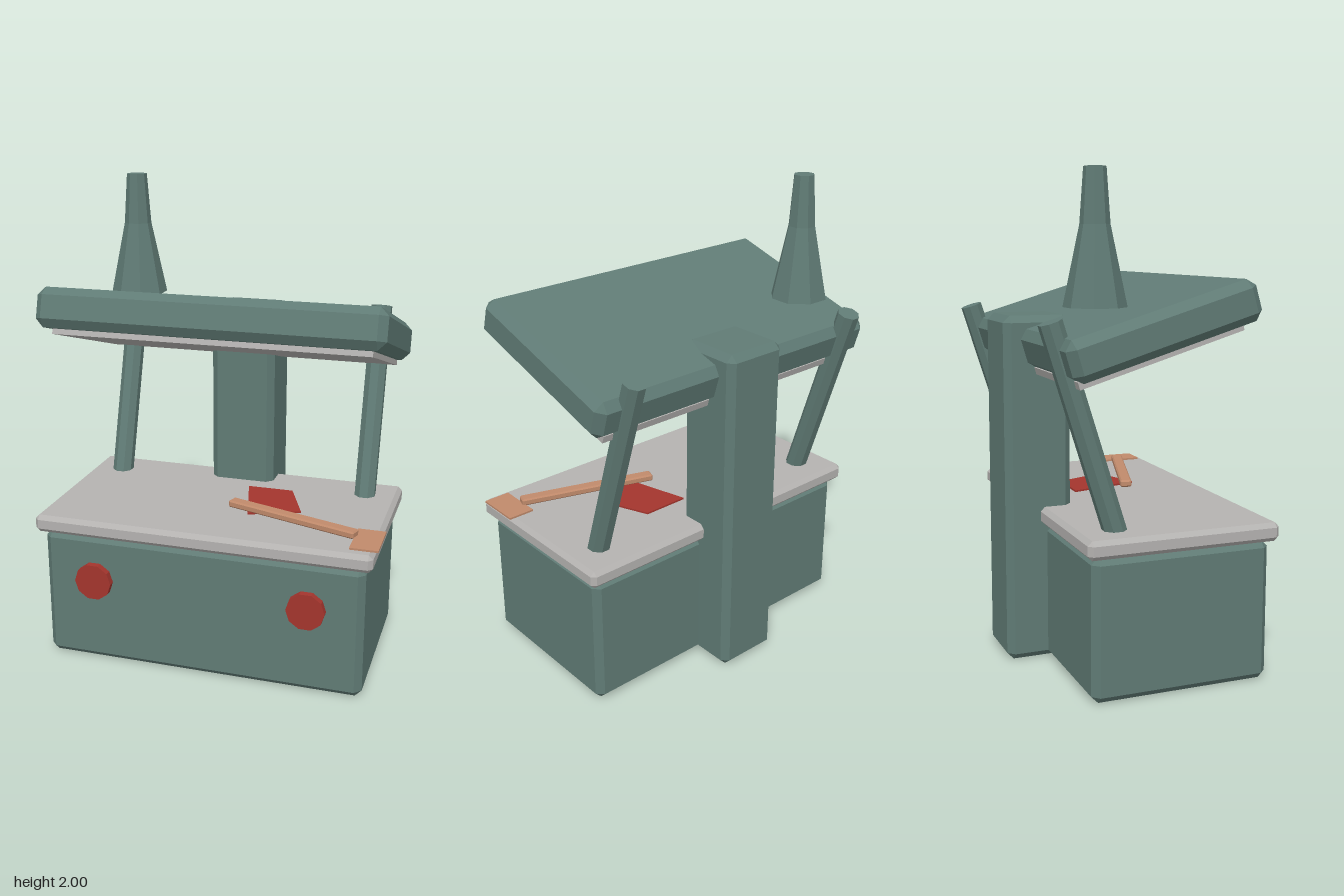
import * as THREE from 'three';
import { ConvexGeometry } from 'three/addons/geometries/ConvexGeometry.js';

const mat = (name, color, extra = {}) => {
  const m = new THREE.MeshStandardMaterial({ color, ...extra });
  m.name = name;
  return m;
};

// Box with chamfered edges and corners, centred on the origin
function chamferBox(w, h, d, c) {
  const pts = [];
  for (const x of [-1, 1]) for (const y of [-1, 1]) for (const z of [-1, 1]) {
    for (let k = 0; k < 3; k++) {
      const cut = [c, c, c];
      cut[k] = 0;
      pts.push(new THREE.Vector3(x * (w / 2 - cut[0]), y * (h / 2 - cut[1]), z * (d / 2 - cut[2])));
    }
  }
  return new ConvexGeometry(pts);
}

export function createModel() {
  const group = new THREE.Group();
  const green = mat('green paint', 0x607b75, { flatShading: true });
  const grey = mat('light grey', 0xb4b2b0, { flatShading: true });
  const red = mat('red', 0xa3352d, { flatShading: true });
  const tan = mat('tan wood', 0xc08a6b, { flatShading: true });

  const add = (name, geometry, material, x, y, z, parent = group) => {
    const mesh = new THREE.Mesh(geometry, material);
    mesh.name = name;
    mesh.position.set(x, y, z);
    parent.add(mesh);
    return mesh;
  };

  // Cabinet, worktop and rear column
  add('cabinet', chamferBox(1.37, 0.57, 0.74, 0.028), green, -0.01, 0.287, 0.073);
  add('worktop', chamferBox(1.43, 0.075, 0.795, 0.018), grey, -0.01, 0.61, 0.073);
  add('column', chamferBox(0.285, 1.435, 0.28, 0.028), green, -0.01, 0.7175, -0.328);

  // Tilted roof with a pale lining underneath
  const roof = new THREE.Group();
  roof.name = 'roof';
  roof.position.set(-0.01, 1.407, -0.009);
  roof.rotation.x = -0.291;
  group.add(roof);
  add('roofSlab', chamferBox(1.43, 0.165, 0.79, 0.034), green, 0, 0, 0, roof);
  add('roofLining', new THREE.BoxGeometry(1.32, 0.03, 0.69), grey, 0, -0.09, -0.03, roof);

  // Leaning octagonal posts
  const foot = new THREE.Vector3(0, 0.62, -0.162);
  const head = new THREE.Vector3(0, 1.44, -0.422);
  const lean = head.clone().sub(foot);
  for (const x of [-0.583, 0.561]) {
    const geo = new THREE.CylinderGeometry(0.047, 0.047, lean.length(), 8);
    geo.rotateY(Math.PI / 8);
    const post = add('roofPost', geo, green, x, (foot.y + head.y) / 2, (foot.z + head.z) / 2);
    post.rotation.x = Math.atan2(lean.z, lean.y);
  }

  // Chimney, wide at the foot and narrowing in two steps
  const profile = [[0, 1.485], [0.122, 1.485], [0.058, 1.79], [0.043, 2], [0, 2]]
    .map(([r, y]) => new THREE.Vector2(r, y));
  add('chimney', new THREE.LatheGeometry(profile, 8, Math.PI / 8), green, -0.495, 0, -0.215);

  // Round knobs on the front
  for (const x of [-0.468, 0.445]) {
    const geo = new THREE.CylinderGeometry(0.08, 0.08, 0.04, 10);
    geo.rotateY(Math.PI / 2).rotateX(Math.PI / 2);
    add('frontKnob', geo, red, x, 0.375, 0.452);
  }

  // Spatula resting over the worktop edge
  const spatula = new THREE.Group();
  spatula.name = 'spatula';
  group.add(spatula);
  add('spatulaBlade', new THREE.BoxGeometry(0.115, 0.008, 0.195), tan, 0.6625, 0.655, 0.3325, spatula);
  const handle = add('spatulaHandle', chamferBox(0.6, 0.03, 0.05, 0.006), tan, 0.325, 0.668, 0.225, spatula);
  handle.rotation.y = -0.31;

  // Thin red slice lying on the worktop
  const outline = [[0.05, -0.1], [0.25, -0.1], [0.34, 0.12], [0.13, 0.2]]
    .map(([x, z]) => new THREE.Vector2(x, -z));
  const slice = new THREE.ExtrudeGeometry(new THREE.Shape(outline), { depth: 0.009, bevelEnabled: false });
  slice.rotateX(-Math.PI / 2);
  add('redSlice', slice, red, 0, 0.646, 0);

  return group;
}
